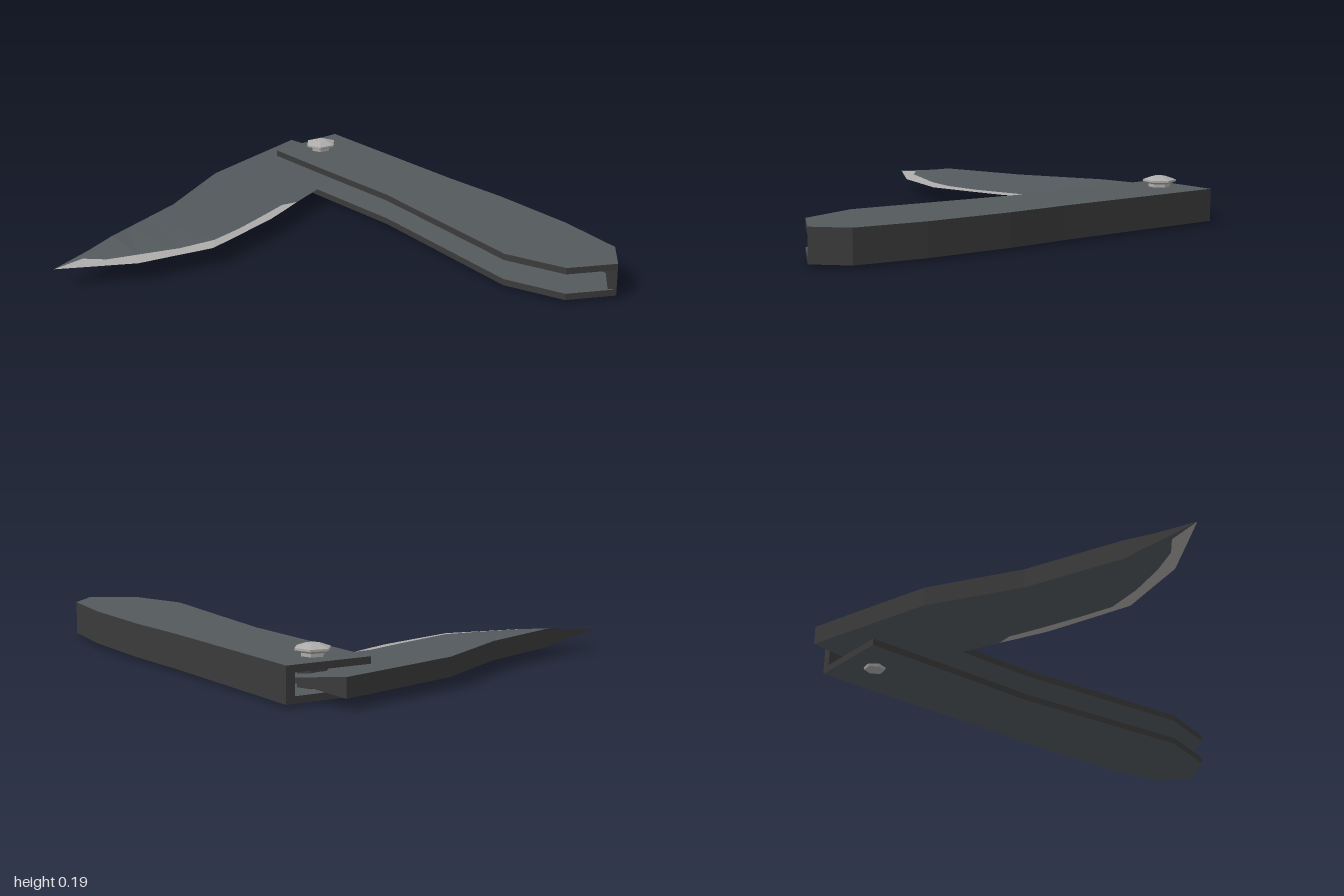
import * as THREE from 'three';

const MID = 0.0775; // height of the blade's centre plane

const material = (name, color, extra = {}) => {
  const m = new THREE.MeshStandardMaterial({ color, flatShading: true, ...extra });
  m.name = name;
  return m;
};

// Handle outline as [x, z]: spine first, then the open front edge
const SPINE = [[-0.74, -0.89], [0, -0.625], [0.3, -0.53], [0.66, -0.39], [0.93, -0.25], [1, -0.1]];
const FRONT = [[0.84, 0.035], [0.57, 0.025], [-0.14, -0.31], [-0.52, -0.44], [-0.86, -0.56]];

// Blade sections from root to tip: spine, start of bevel, cutting edge, half thickness
const BLADE = [
  [[-0.925, -0.795], [-0.62, -0.795], [-0.62, -0.795], 0.0375],
  [[-0.948, -0.6], [-0.53, -0.6], [-0.53, -0.6], 0.0375],
  [[-0.967, -0.44], [-0.53, -0.44], [-0.53, -0.44], 0.0375],
  [[-0.99, -0.24], [-0.53, -0.2], [-0.53, -0.2], 0.0375],
  [[-0.975, -0.13], [-0.565, -0.13], [-0.527, -0.12], 0.0375],
  [[-0.957, 0], [-0.57, 0.01], [-0.525, 0.02], 0.0375],
  [[-0.935, 0.16], [-0.58, 0.18], [-0.543, 0.2], 0.0375],
  [[-0.941, 0.33], [-0.6, 0.34], [-0.565, 0.4], 0.0375],
  [[-0.946, 0.46], [-0.675, 0.48], [-0.65, 0.53], 0.0375],
  [[-0.95, 0.57], [-0.78, 0.62], [-0.74, 0.67], 0.0375],
  [[-0.962, 0.65], [-0.865, 0.715], [-0.82, 0.735], 0.026],
  [[-0.968, 0.7], [-0.95, 0.76], [-0.9, 0.8], 0.02],
  [[-1, 0.88], [-1, 0.88], [-1, 0.88], 0],
];

// Flat slab from an [x, z] outline between two heights
function slab(name, outline, y0, y1, materials) {
  const shape = new THREE.Shape(outline.map(([x, z]) => new THREE.Vector2(x, -z)));
  const geo = new THREE.ExtrudeGeometry(shape, { depth: y1 - y0, bevelEnabled: false });
  geo.rotateX(-Math.PI / 2).translate(0, y0, 0);
  const mesh = new THREE.Mesh(geo, materials);
  mesh.name = name;
  return mesh;
}

// Shift an open path towards the slot side
function inset(path, d) {
  return path.map((p, i) => {
    const a = path[Math.max(i - 1, 0)], b = path[Math.min(i + 1, path.length - 1)];
    const dx = b[0] - a[0], dz = b[1] - a[1], len = Math.hypot(dx, dz);
    return [p[0] - (dz / len) * d, p[1] + (dx / len) * d];
  });
}

function faces(name, quads, mat) {
  const pos = [];
  for (const [a, b, c, d] of quads) pos.push(...a, ...b, ...c, ...a, ...c, ...d);
  const geo = new THREE.BufferGeometry();
  geo.setAttribute('position', new THREE.Float32BufferAttribute(pos, 3));
  geo.computeVertexNormals();
  const mesh = new THREE.Mesh(geo, mat);
  mesh.name = name;
  return mesh;
}

function buildBlade(steel, dark, silver) {
  const group = new THREE.Group();
  group.name = 'blade';
  // Wedge sections: thick at the spine, zero at the cutting edge
  const rows = BLADE.map(([s, m, e, h]) => {
    const width = Math.hypot(e[0] - s[0], e[1] - s[1]) || 1;
    const hm = h * Math.hypot(e[0] - m[0], e[1] - m[1]) / width;
    const at = (p, y) => [p[0], MID + y, p[1]];
    return { sT: at(s, h), sB: at(s, -h), mT: at(m, hm), mB: at(m, -hm), e: at(e, 0) };
  });
  const sides = [], bevels = [], spine = [];
  for (let i = 0; i < rows.length - 1; i++) {
    const p = rows[i], q = rows[i + 1];
    sides.push([p.sT, q.sT, q.mT, p.mT], [p.mB, q.mB, q.sB, p.sB]);
    spine.push([p.sT, p.sB, q.sB, q.sT]);
    if (i > 2) bevels.push([p.mT, q.mT, q.e, p.e], [p.e, q.e, q.mB, p.mB]);
  }
  const r = rows[0];
  spine.push([r.sT, r.e, r.e, r.sB]); // root end
  group.add(faces('bladeSides', sides, steel), faces('bladeSpine', spine, dark),
    faces('cuttingEdge', bevels, silver));
  return group;
}

// Six-sided pivot with a domed head, a shaft and a small foot
function buildPivot(silver, dark) {
  const group = new THREE.Group();
  group.name = 'pivot';
  const add = (name, points, mat) => {
    const geo = new THREE.LatheGeometry(points.map(([x, y]) => new THREE.Vector2(x, y)), 6, Math.PI / 2);
    const mesh = new THREE.Mesh(geo, mat);
    mesh.name = name;
    group.add(mesh);
  };
  add('pivotHead', [[0.045, 0.145], [0.045, 0.16], [0.07, 0.17], [0.07, 0.178], [0.03, 0.192], [0, 0.194]], silver);
  add('pivotShaft', [[0.06, 0.03], [0.06, 0.125]], dark);
  add('pivotFoot', [[0, 0], [0.04, 0], [0.045, 0.012]], silver);
  group.position.set(-0.69, 0, -0.675);
  return group;
}

export function createModel() {
  const steel = material('slate grey', 0x54595d);
  const dark = material('dark grey', 0x3a3b3a);
  const silver = material('silver', 0xaeacaa, { side: THREE.DoubleSide });

  const model = new THREE.Group();
  model.name = 'foldingKnife';

  // Handle: two plates joined by a wall along the spine
  const outline = [...SPINE, ...FRONT];
  const handle = new THREE.Group();
  handle.name = 'handle';
  handle.add(
    slab('lowerPlate', outline, 0.01, 0.037, [steel, dark]),
    slab('upperPlate', outline, 0.12, 0.147, [steel, dark]),
    slab('spineWall', [...SPINE, ...inset(SPINE, 0.035).reverse()], 0.037, 0.12, dark),
  );

  model.add(handle, buildBlade(steel, dark, silver), buildPivot(silver, dark));
  return model;
}
